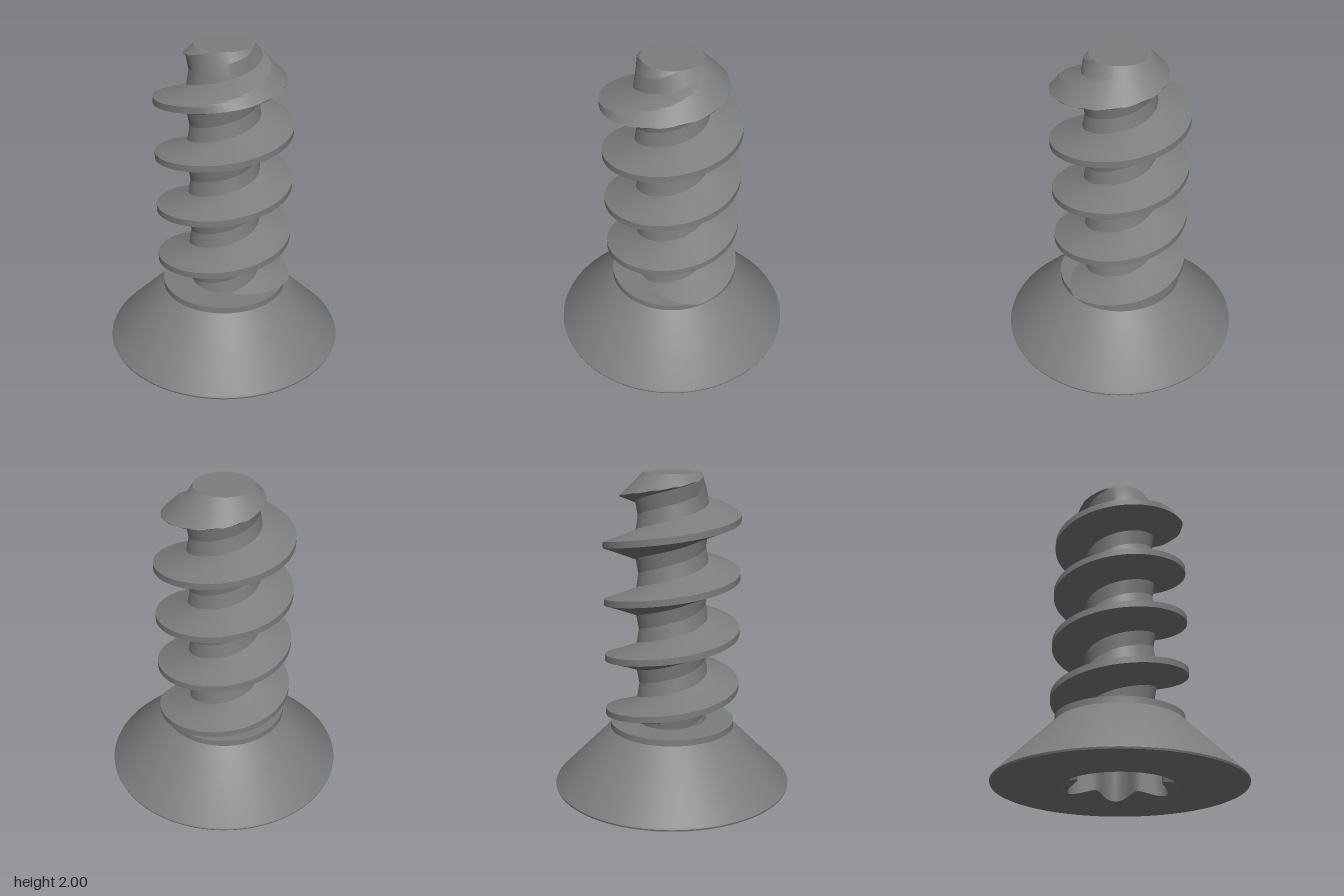
import * as THREE from 'three';
import { toCreasedNormals } from 'three/addons/utils/BufferGeometryUtils.js';

const TAU = Math.PI * 2;
const PITCH = 0.357, CREST_Y = 0.455;   // thread pitch, crest height at +x
const BASE = 0.425, TOP = 2;            // shank ends
const CREST_R = 0.427, ROOT_R = 0.225, WAIST_R = 0.21;
const CREST_H = 0.02, ROOT_H = 0.09;    // half heights of crest and thread root

// Surface around the y axis; point(a, row) gives [radius, y]
function sweep(rows, segments, point, crease) {
  const pos = [];
  const at = (i, j) => {
    const a = (i / segments) * TAU;
    const [r, y] = point(a, j);
    return new THREE.Vector3(r * Math.cos(a), y, -r * Math.sin(a));
  };
  const tri = (p, q, s) => {
    const area = q.clone().sub(p).cross(s.clone().sub(p)).length();
    if (area > 1e-8) pos.push(...p.toArray(), ...q.toArray(), ...s.toArray());
  };
  for (let i = 0; i < segments; i++) {
    for (let j = 0; j < rows - 1; j++) {
      const a = at(i, j), b = at(i + 1, j), c = at(i + 1, j + 1), d = at(i, j + 1);
      tri(a, b, d);
      tri(b, c, d);
    }
  }
  const g = new THREE.BufferGeometry();
  g.setAttribute('position', new THREE.Float32BufferAttribute(pos, 3));
  return toCreasedNormals(g, crease);
}

// Threaded shank radius, trimmed by the 45 degree point chamfer
function shankRadius(a, y) {
  const turns = (y - CREST_Y) / PITCH - a / TAU;
  const d = Math.abs(turns - Math.round(turns)) * PITCH;
  let r;
  if (d <= CREST_H) r = CREST_R;
  else if (d <= ROOT_H) r = THREE.MathUtils.mapLinear(d, CREST_H, ROOT_H, CREST_R, ROOT_R);
  else r = THREE.MathUtils.mapLinear(d, ROOT_H, PITCH / 2, ROOT_R, WAIST_R);
  return Math.min(r, 0.18 + TOP - y);
}

export function createModel() {
  const model = new THREE.Group();
  const steel = new THREE.MeshStandardMaterial({ color: 0x7d7d7d });
  steel.name = 'grey steel';
  const add = (name, geometry) => {
    const mesh = new THREE.Mesh(geometry, steel);
    mesh.name = name;
    model.add(mesh);
  };

  // Countersunk head with collar, hollow in the middle of its underside
  const head = [[0.348, 0], [0.745, 0], [0.756, 0.005], [0.76, 0.016],
    [0.755, 0.026], [0.397, 0.385], [0.397, BASE], [0, BASE]];
  add('head', sweep(head.length, 128, (a, j) => head[j], 0.5));

  // Six-lobed drive recess: floor, wall and countersunk rim
  const lobe = (a) => 0.295 + 0.045 * Math.cos(6 * a);
  add('driveRecess', sweep(4, 144, (a, j) => {
    const r = lobe(a);
    return [[0, 0.27], [r, 0.27], [r, (0.348 - r) * 0.4], [0.348, 0]][j];
  }, 0.5));

  // Thread rows over one turn: waist, lower flank, crest, upper flank
  const offsets = [-PITCH / 2];
  const steps = 10;
  for (let k = 0; k <= steps; k++) offsets.push(THREE.MathUtils.lerp(-ROOT_H, -CREST_H, k / steps));
  for (let k = 0; k <= steps; k++) offsets.push(THREE.MathUtils.lerp(CREST_H, ROOT_H, k / steps));
  const heights = [];
  for (let n = -2; n <= 5; n++) offsets.forEach((o) => heights.push(CREST_Y + n * PITCH + o));

  // Shank and helical thread, cut flat at both ends
  add('threadedShank', sweep(heights.length, 120, (a, j) => {
    const y = THREE.MathUtils.clamp(heights[j] + (PITCH * a) / TAU, BASE, TOP);
    return [shankRadius(a, y), y];
  }, 0.3));

  // End faces
  add('threadStartFace', sweep(2, 120, (a, j) => [j * shankRadius(a, BASE), BASE], 0.3));
  add('tipFace', sweep(2, 120, (a, j) => [(1 - j) * 0.18, TOP], 0.3));

  return model;
}
